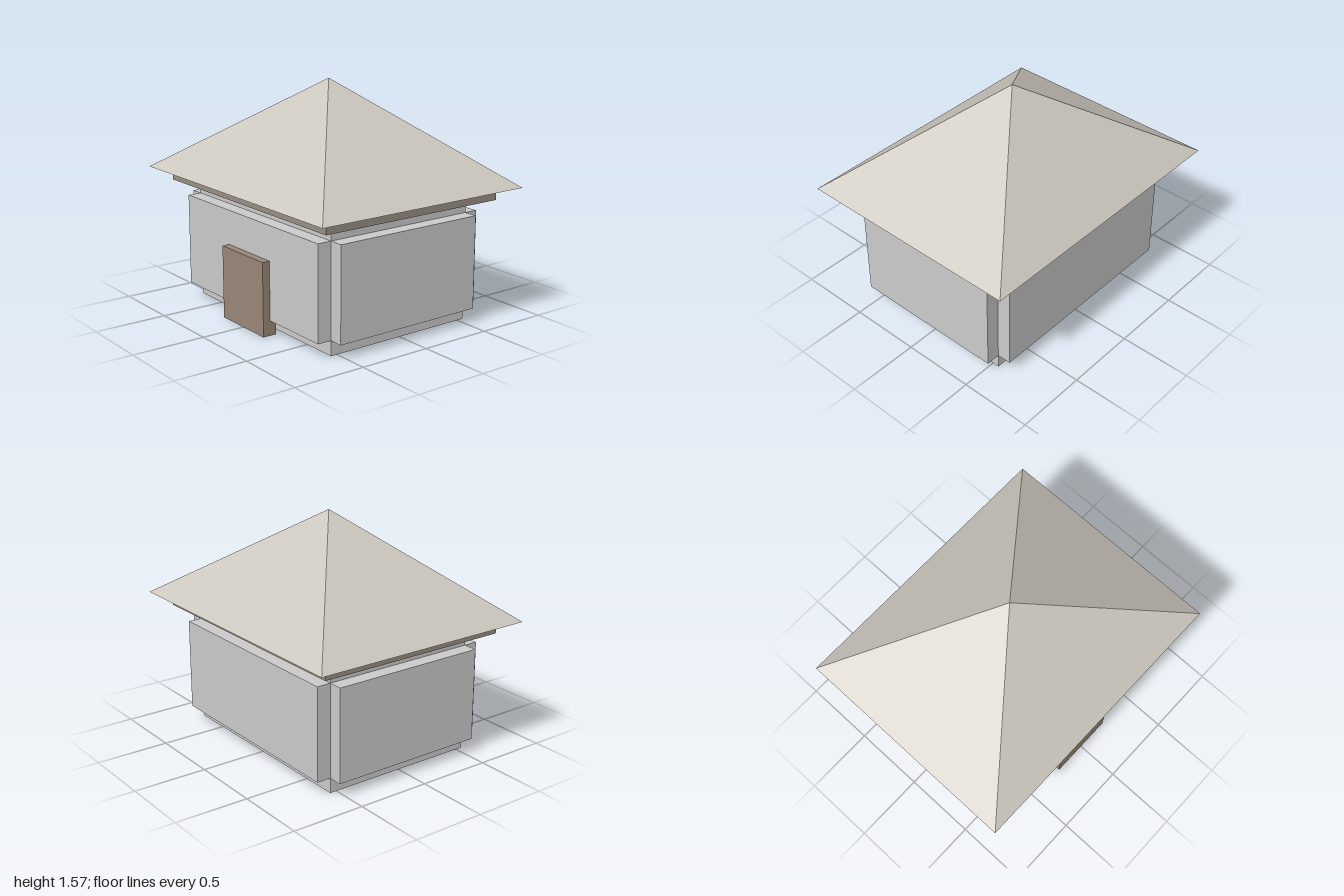
import * as THREE from 'three';

const material = (color) => new THREE.MeshStandardMaterial({ color, flatShading: true });

export function createModel() {
  const model = new THREE.Group();
  model.name = 'hut';

  const wallMat = material(0xcccccc);
  const roofMat = material(0xccc7be);
  const trimMat = material(0x998f84);
  const doorMat = material(0x9a8878);

  // Box given by its size, its bottom height and its centre in plan
  function addBox(name, mat, width, height, depth, bottom, x = 0, z = 0) {
    const mesh = new THREE.Mesh(new THREE.BoxGeometry(width, height, depth), mat);
    mesh.name = name;
    mesh.position.set(x, bottom + height / 2, z);
    model.add(mesh);
  }

  // Main body
  const bodyW = 1.49, bodyD = 1.094;
  addBox('body', wallMat, bodyW, 0.82, bodyD, 0);

  // Raised wall panels, leaving open notches at the corners
  const panelH = 0.63, panelBottom = 0.1, panelT = 0.097;
  for (const s of [1, -1]) {
    addBox(s > 0 ? 'frontPanel' : 'backPanel', wallMat,
      bodyW, panelH, panelT, panelBottom, 0, s * (bodyD + panelT) / 2);
    addBox(s > 0 ? 'leftPanel' : 'rightPanel', wallMat,
      panelT, panelH, bodyD, panelBottom, s * (bodyW + panelT) / 2, 0);
  }

  // Door slab
  addBox('door', doorMat, 0.468, 0.497, 0.097, 0, 0, 0.648);

  // Trim under the eaves
  addBox('eavesTrim', trimMat, 1.76, 0.087, 1.37, 0.82);

  // Pyramid roof: four-sided cone turned square to the walls
  const roofH = 0.663;
  const roofGeo = new THREE.ConeGeometry(Math.SQRT2, roofH, 4)
    .rotateY(Math.PI / 4)
    .scale(1, 1, 0.8);
  const roof = new THREE.Mesh(roofGeo, roofMat);
  roof.name = 'roof';
  roof.position.y = 0.907 + roofH / 2;
  model.add(roof);

  return model;
}
